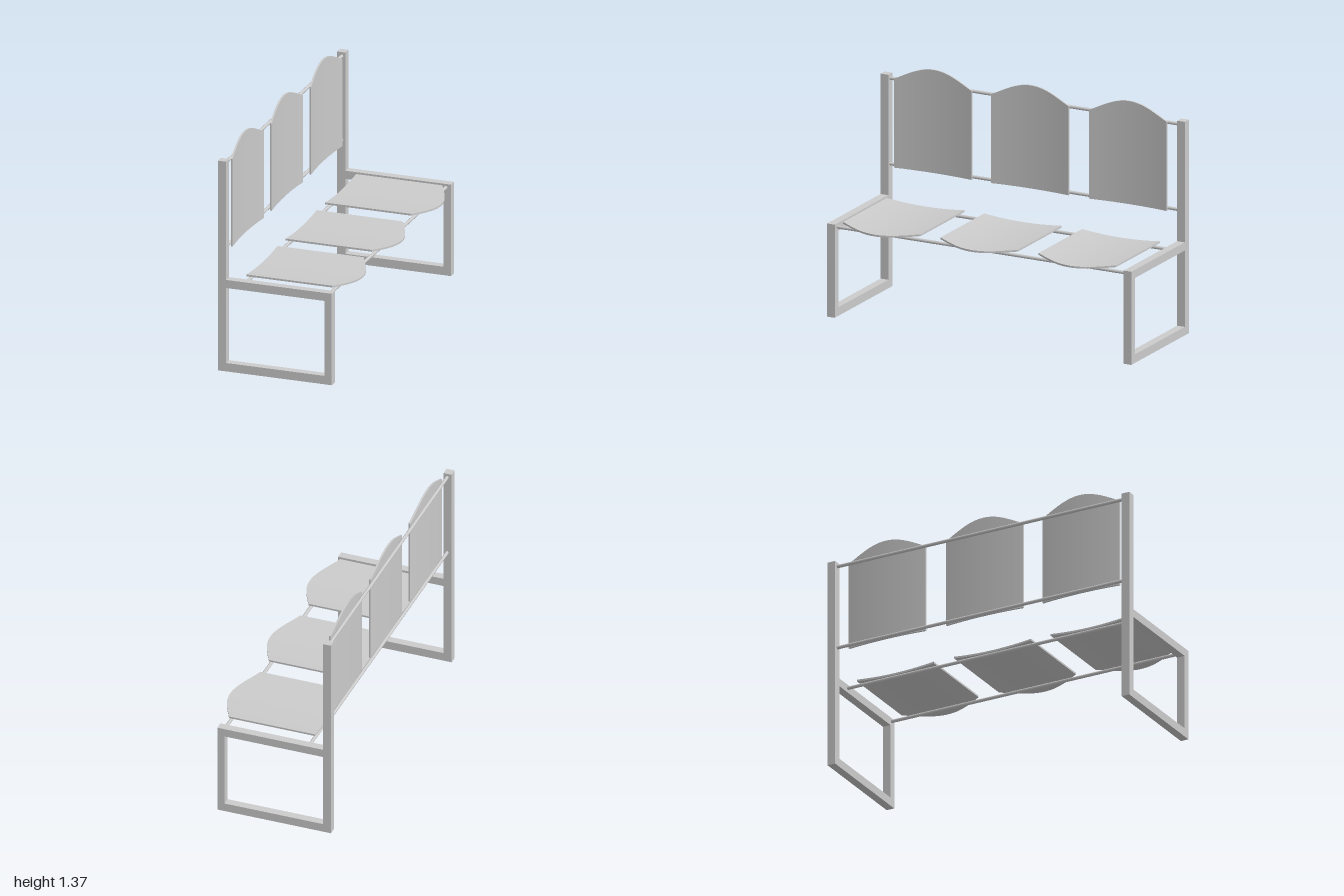
import * as THREE from 'three';

const material = new THREE.MeshStandardMaterial({ color: 0xcccccc });

// Curved panel: length along +x with a bowed far end, width along z, dished in y
function panelGeometry(length, bow, sag) {
  const width = 0.51, thickness = 0.011;
  const g = new THREE.BoxGeometry(1, thickness, width, 8, 1, 24);
  const p = g.attributes.position;
  for (let i = 0; i < p.count; i++) {
    const w = p.getZ(i) / (width / 2);
    const end = length + bow * Math.pow(Math.cos(w * Math.PI / 2), 1.1);
    p.setX(i, (p.getX(i) + 0.5) * end);
    p.setY(i, p.getY(i) + sag * w * w);
  }
  g.computeVertexNormals();
  return g;
}

// Side frame: tall back post and a rectangular leg loop, one extruded outline
function frameGeometry() {
  const pts = (list) => list.map(([x, y]) => new THREE.Vector2(x, y));
  const shape = new THREE.Shape(pts([
    [-0.385, 0], [0.32, 0], [0.32, 0.565], [-0.335, 0.565], [-0.335, 1.295], [-0.385, 1.295],
  ]));
  shape.holes.push(new THREE.Path(pts([
    [-0.335, 0.052], [-0.335, 0.515], [0.275, 0.515], [0.275, 0.052],
  ])));
  return new THREE.ExtrudeGeometry(shape, { depth: 0.05, bevelEnabled: false });
}

export function createModel() {
  const group = new THREE.Group();
  const add = (name, geometry, x, y, z) => {
    const mesh = new THREE.Mesh(geometry, material);
    mesh.name = name;
    mesh.position.set(x, y, z);
    group.add(mesh);
    return mesh;
  };

  // End frames
  const frame = frameGeometry();
  add('leftEndFrame', frame, 0, 0, -1);
  add('rightEndFrame', frame, 0, 0, 0.95);

  // Rods joining the frames
  const rod = new THREE.CylinderGeometry(0.01, 0.01, 1.91, 16);
  rod.rotateX(Math.PI / 2);
  add('upperBackRod', rod, -0.357, 1.27, 0);
  add('lowerBackRod', rod, -0.357, 0.751, 0);
  add('rearSeatRod', rod, -0.233, 0.543, 0);
  add('frontSeatRod', rod, 0.288, 0.543, 0);

  // Three seats with matching backrests
  const seat = panelGeometry(0.535, 0.09, 0.015);
  const back = panelGeometry(0.54, 0.085, -0.015);
  back.rotateZ(Math.PI / 2);
  [-0.63, 0.015, 0.655].forEach((z, i) => {
    add('seat' + (i + 1), seat, -0.243, 0.559, z);
    add('backrest' + (i + 1), back, -0.349, 0.74, z);
  });

  return group;
}
